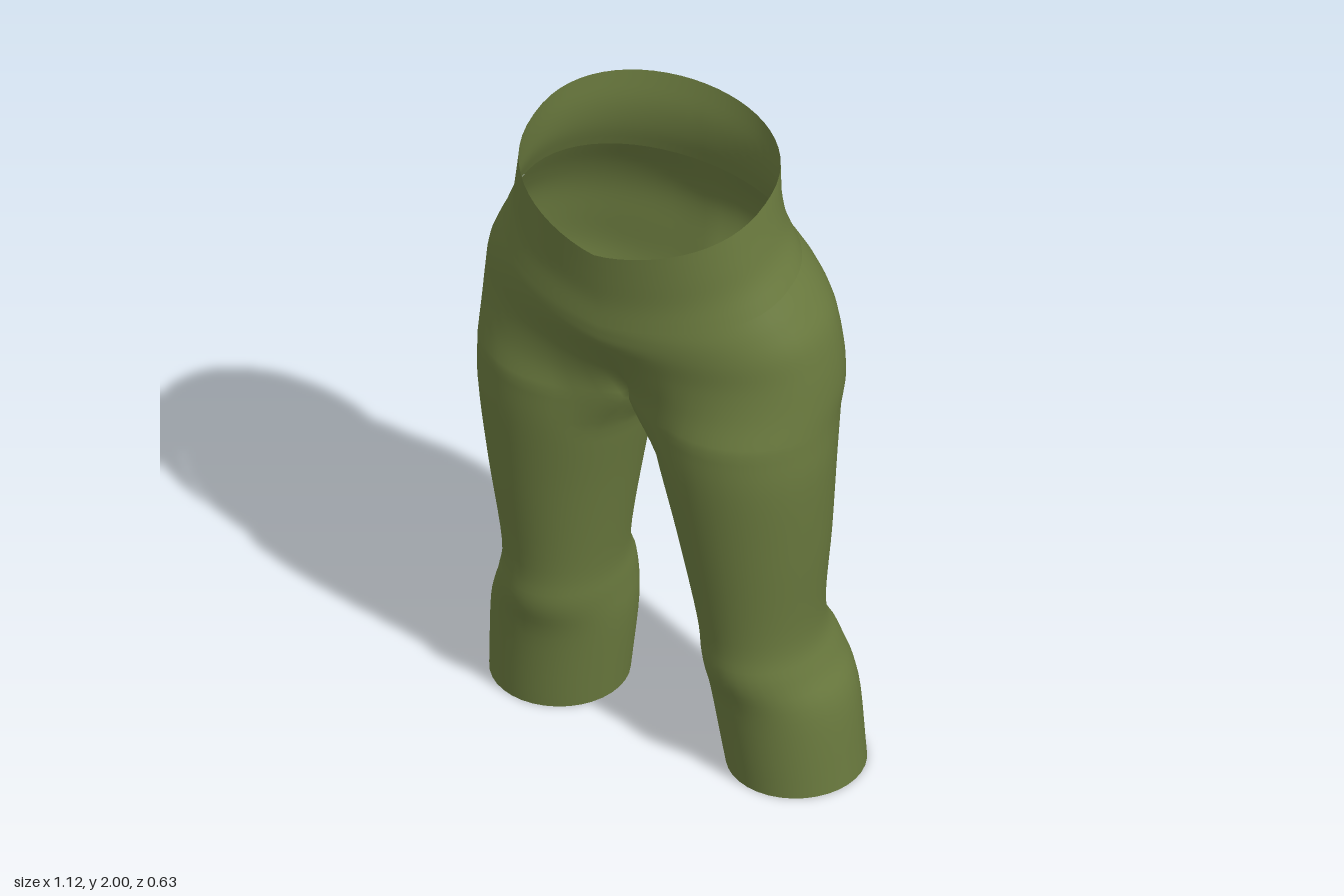
import * as THREE from 'three';
import { mergeVertices } from 'three/addons/utils/BufferGeometryUtils.js';

const { lerp, smoothstep, clamp } = THREE.MathUtils;
const DEG = Math.PI / 180;
const ARC = 30; // steps round the outside of one half
const RING = 36; // steps round a whole leg

// Smoothly resample a list of key sections
function resample(keys, steps) {
  const stride = keys[0].length;
  const curve = new THREE.CubicInterpolant(keys.map((_, i) => i), keys.flat(), stride, new Float64Array(stride));
  const rows = [];
  for (let i = 0; i <= (keys.length - 1) * steps; i++) rows.push(Array.from(curve.evaluate(i / steps)));
  return rows;
}

// Point on a leg section; j = 1 pulls the inside onto the crotch seam at x = 0
function legPoint([y, inner, outer, front, back, j], k) {
  const a = (-60 + k * 360 / RING) * DEG;
  const pull = clamp(j, 0, 1);
  const x = (inner + outer) / 2 + (outer - inner) / 2 * Math.sin(a);
  const z = (front + back) / 2 + (front - back) / 2 * Math.cos(a);
  const dip = k > ARC ? Math.sin((k - ARC) / (RING - ARC) * Math.PI) : 0;
  const squeeze = pull * smoothstep(-Math.sin(a), 0.45, 0.866);
  return [x * (1 - squeeze), y - 0.1 * pull * dip, z];
}

// Point on a torso section; w blends from two thighs to one oval
function torsoPoint([yFront, yBack, width, front, back, w, cleft], k) {
  const a = k / ARC * Math.PI;
  const c = Math.cos(a);
  const leg = legPoint([0, 0.005, width, front, back, 1], k);
  const x = lerp(leg[0], width * Math.sin(a), w);
  const oval = (front + back) / 2 + (front - back) / 2 * Math.sign(c) * Math.abs(c) ** 0.88;
  let z = lerp(leg[2], oval, w);
  if (c < 0) z += cleft * Math.exp(-((x / 0.09) ** 2));
  const s = clamp((front - z) / (front - back), 0, 1) ** 0.6;
  return [x, lerp(yFront, yBack, s), z];
}

// Skin rows of points, bottom to top, on both sides of the body
function addSkin(out, rows, steps, pointAt) {
  for (const side of [1, -1]) {
    const base = out.pos.length / 3;
    for (const row of rows) {
      for (let k = 0; k <= steps; k++) {
        const [x, y, z] = pointAt(row, k);
        out.pos.push(x * side, y, z);
      }
    }
    for (let r = 0; r < rows.length - 1; r++) {
      for (let k = 0; k < steps; k++) {
        const a = base + r * (steps + 1) + k, b = a + 1;
        const d = a + steps + 1, c = d + 1;
        if (side > 0) out.idx.push(a, b, c, a, c, d);
        else out.idx.push(a, c, b, a, d, c);
      }
    }
  }
}

function toMesh({ pos, idx }, name, material) {
  let geo = new THREE.BufferGeometry();
  geo.setAttribute('position', new THREE.Float32BufferAttribute(pos, 3));
  geo.setIndex(idx);
  geo = mergeVertices(geo, 1e-4);
  geo.computeVertexNormals();
  const mesh = new THREE.Mesh(geo, material);
  mesh.name = name;
  return mesh;
}

export function createModel() {
  const group = new THREE.Group();
  group.name = 'trousers';
  const olive = new THREE.MeshStandardMaterial({ color: 0x6b7b3f, side: THREE.DoubleSide });
  olive.name = 'olive cloth';

  // Legs: y, inner x, outer x, front z, back z, crotch pull
  const legs = resample([
    [0, 0.185, 0.56, 0.10, -0.28, 0],
    [0.25, 0.152, 0.54, 0.13, -0.278, 0],
    [0.38, 0.148, 0.495, 0.163, -0.26, 0],
    [0.51, 0.143, 0.472, 0.167, -0.208, 0],
    [0.8, 0.09, 0.503, 0.21, -0.213, 0],
    [1.05, 0.035, 0.525, 0.245, -0.222, 0],
    [1.2, 0.005, 0.527, 0.255, -0.25, 1],
  ], 5);

  // Hips and seat: front y, back y, half width, front z, back z, blend, cleft
  const hips = resample([
    [1.2, 1.2, 0.527, 0.255, -0.25, 0, 0],
    [1.29, 1.3, 0.528, 0.26, -0.30, 0.5, 0.01],
    [1.38, 1.41, 0.52, 0.272, -0.315, 0.85, 0.015],
    [1.46, 1.52, 0.502, 0.293, -0.316, 1, 0.015],
    [1.51, 1.62, 0.467, 0.302, -0.288, 1, 0.01],
    [1.55, 1.735, 0.42, 0.302, -0.228, 1, 0],
  ], 5);

  const body = { pos: [], idx: [] };
  addSkin(body, legs, RING, legPoint);
  addSkin(body, hips, ARC, torsoPoint);
  group.add(toMesh(body, 'legsAndSeat', olive));

  // Waistband, slightly proud of the hips and rising to the back
  const band = { pos: [], idx: [] };
  addSkin(band, resample([
    [1.535, 1.72, 0.43, 0.308, -0.236, 1, 0],
    [1.61, 1.81, 0.396, 0.306, -0.212, 1, 0],
    [1.69, 1.9, 0.378, 0.314, -0.207, 1, 0],
    [1.78, 2.0, 0.365, 0.325, -0.225, 1, 0],
  ], 4), ARC, torsoPoint);
  group.add(toMesh(band, 'waistband', olive));

  return group;
}
